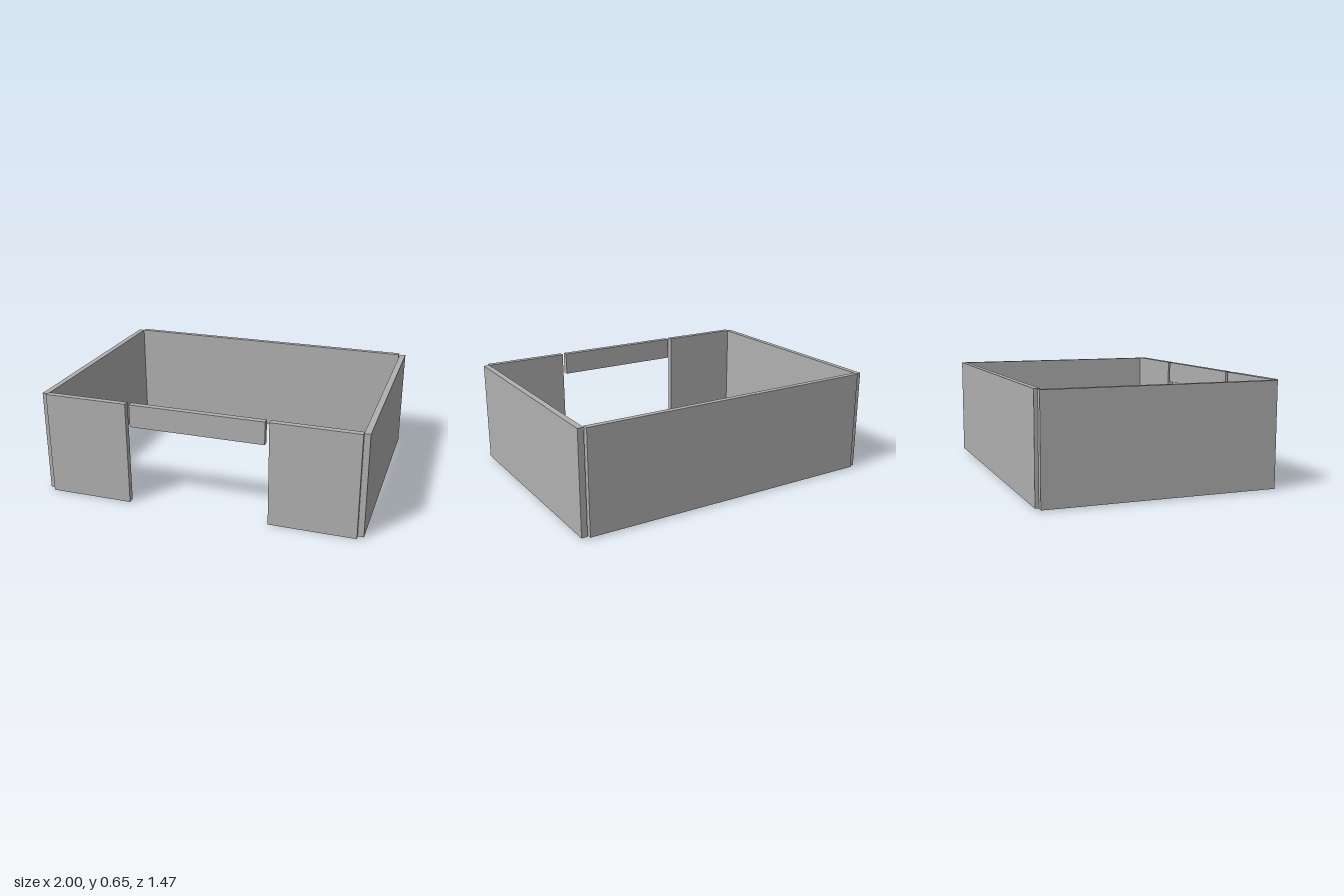
import * as THREE from 'three';

export function createModel() {
  const model = new THREE.Group();
  const wallGrey = new THREE.MeshStandardMaterial({ color: 0xb0b0b0 });
  wallGrey.name = 'wallGrey';

  // A flat wall panel given by its extents on each axis
  function panel(name, [x0, x1], [y0, y1], [z0, z1]) {
    const mesh = new THREE.Mesh(new THREE.BoxGeometry(x1 - x0, y1 - y0, z1 - z0), wallGrey);
    mesh.position.set((x0 + x1) / 2, (y0 + y1) / 2, (z0 + z1) / 2);
    mesh.name = name;
    model.add(mesh);
  }

  const top = 0.647;
  const frontZ = [0.695, 0.733];

  // Long side walls
  panel('leftWall', [0.963, 1], [0.006, top - 0.003], [-0.713, 0.711]);
  panel('rightWall', [-1, -0.963], [0.006, top - 0.003], [-0.713, 0.711]);

  // Back wall
  panel('backWall', [-0.958, 0.956], [0.008, top], [-0.733, -0.699]);

  // Front wall: two panels with a doorway and a lintel between them
  panel('frontLeftPanel', [0.438, 0.964], [0, top], frontZ);
  panel('frontRightPanel', [-0.965, -0.443], [0, top], frontZ);
  panel('doorLintel', [-0.417, 0.413], [0.506, top], frontZ);

  return model;
}
